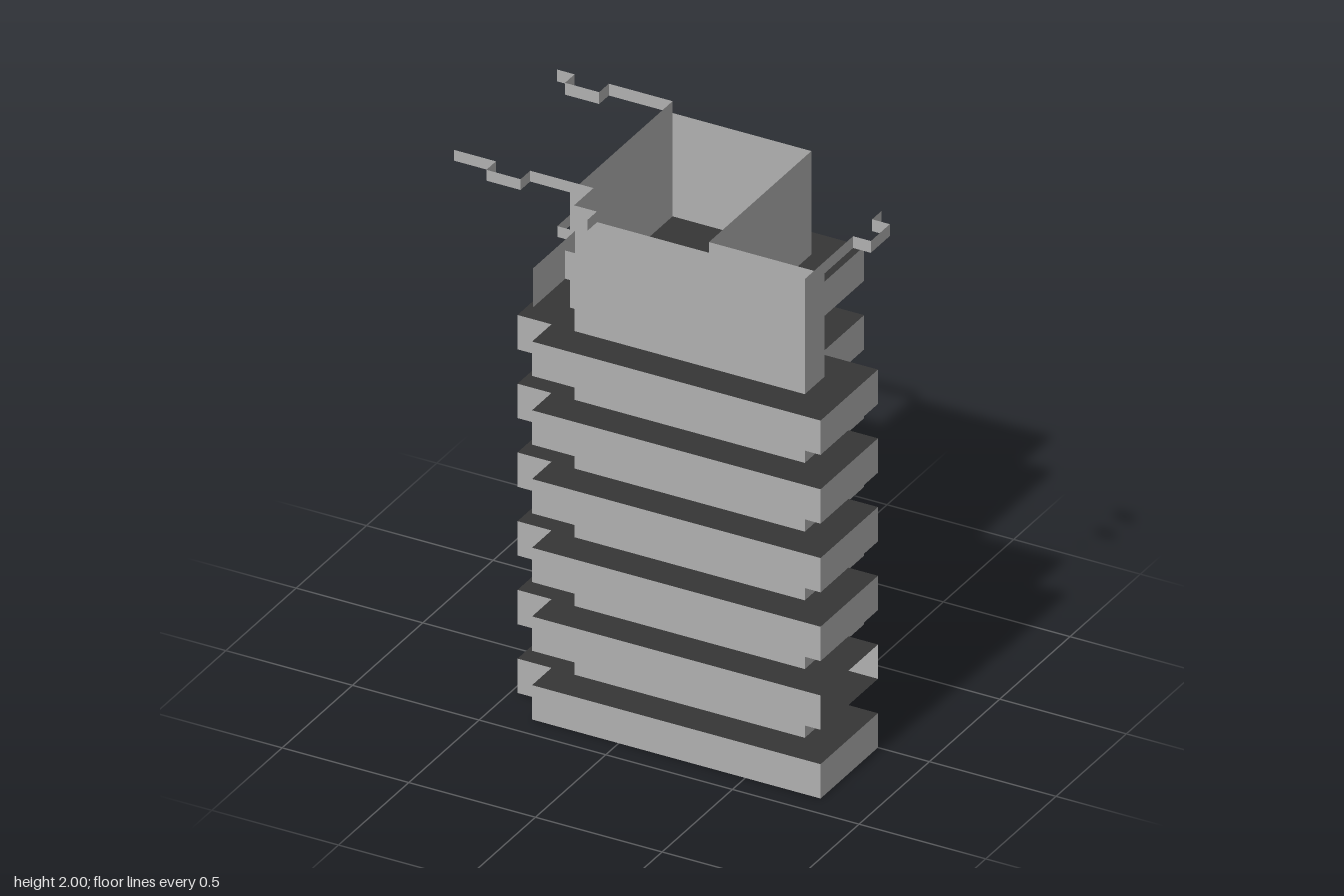
import * as THREE from 'three';

const wallMat = new THREE.MeshStandardMaterial({ color: 0xb0b0b0, flatShading: true, side: THREE.DoubleSide });
const floorMat = new THREE.MeshStandardMaterial({ color: 0x363636, flatShading: true, side: THREE.DoubleSide });

// Plan outlines as [x, z]
const SLAB = [[0.797, 0.408], [-0.342, 0.408], [-0.342, 0.27], [-0.476, 0.27], [-0.476, -0.73], [0.337, -0.73], [0.337, 0], [0.797, 0]];
const HIGH_WALL = [[0.66, 0.135], [0.66, 0.273], [-0.25, 0.273], [-0.25, 0.137], [-0.343, 0.137], [-0.343, -0.593]];
const LOW_WALL = [[-0.343, -0.593], [0.205, -0.593], [0.205, 0.135], [0.66, 0.135]];

// Thin upright sheet following a plan path
function sheet(path, y0, y1, name) {
  const pos = [];
  for (let i = 0; i < path.length - 1; i++) {
    const [ax, az] = path[i], [bx, bz] = path[i + 1];
    pos.push(ax, y0, az, ax, y1, az, bx, y1, bz, ax, y0, az, bx, y1, bz, bx, y0, bz);
  }
  const geo = new THREE.BufferGeometry();
  geo.setAttribute('position', new THREE.Float32BufferAttribute(pos, 3));
  geo.computeVertexNormals();
  const mesh = new THREE.Mesh(geo, wallMat);
  mesh.name = name;
  return mesh;
}

// Dark horizontal face of a slab
function cap(y, name) {
  const shape = new THREE.Shape(SLAB.map(([x, z]) => new THREE.Vector2(x, -z)));
  const geo = new THREE.ShapeGeometry(shape).rotateX(-Math.PI / 2).translate(0, y, 0);
  const mesh = new THREE.Mesh(geo, floorMat);
  mesh.name = name;
  return mesh;
}

export function createModel() {
  const group = new THREE.Group();
  group.name = 'tower';

  // Six projecting floor slabs; the second is open at its +x end
  const step = 3 / 11;
  for (let i = 0; i < 6; i++) {
    const y0 = i * step, y1 = y0 + step / 2, top = i === 5;
    const floor = new THREE.Group();
    floor.name = `floorSlab${i + 1}`;
    floor.add(
      cap(y0, 'slabUnderside'),
      cap(y1, 'slabTop'),
      sheet(i === 1 ? SLAB : [...SLAB, SLAB[0]], y0, y1, 'slabEdge'),
    );
    group.add(floor);

    // Recessed walls above each slab; the top storey is roofless and lower at the back
    group.add(
      sheet(HIGH_WALL, y1, top ? 1.957 : y0 + step, `frontWalls${i + 1}`),
      sheet(LOW_WALL, y1, top ? 1.91 : y0 + step, `backWalls${i + 1}`),
    );
  }

  // Stepped strips reaching out from the wall tops
  group.add(
    sheet([[-0.343, -0.593], [-0.595, -0.593], [-0.595, -0.525], [-0.73, -0.525], [-0.73, -0.593], [-0.8, -0.593]], 1.91, 1.957, 'backStrip'),
    sheet([[0.66, 0.135], [0.66, -0.07], [0.73, -0.07], [0.73, -0.205], [0.66, -0.205], [0.66, -0.273]], 1.91, 1.957, 'sideStrip'),
    sheet([[-0.25, 0.137], [-0.5, 0.137], [-0.5, 0.205], [-0.635, 0.205], [-0.635, 0.137], [-0.8, 0.137]], 1.957, 2, 'cornerStrip'),
    sheet([[-0.25, 0.137], [-0.25, 0.275], [-0.16, 0.275], [-0.16, 0.34], [-0.23, 0.34], [-0.23, 0.43], [-0.16, 0.43]], 1.957, 2, 'frontStrip'),
    sheet([[-0.23, 0.276], [-0.16, 0.276]], 1.865, 1.91, 'wallTab'),
  );

  // Hanging panels in front of the wall
  group.add(
    sheet([[-0.16, 0.43], [-0.16, 0.73]], 1.845, 2, 'sidePanel'),
    sheet([[-0.16, 0.5], [0.135, 0.5]], 1.845, 1.957, 'frontPanel'),
  );
  return group;
}
